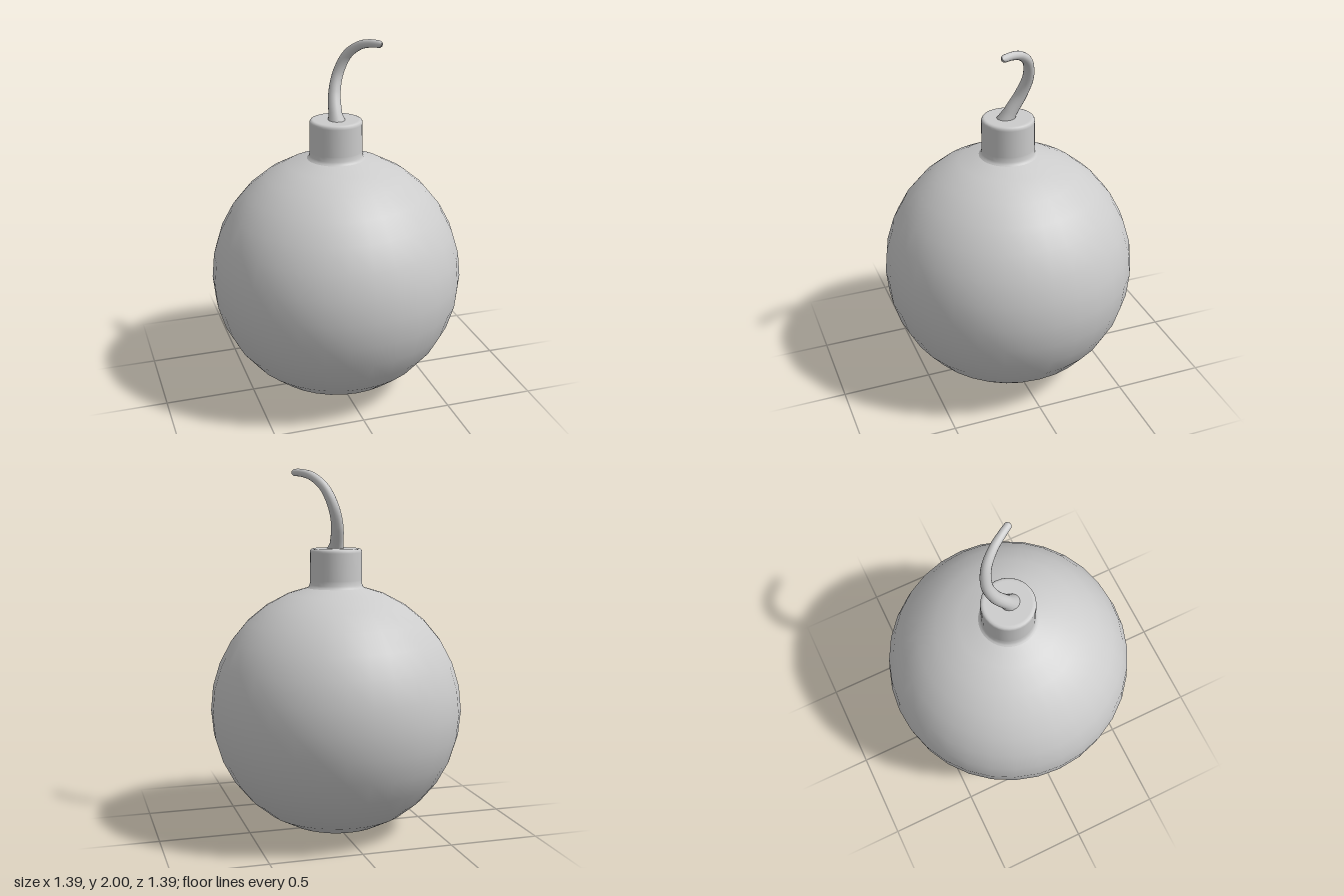
import * as THREE from 'three';

const material = new THREE.MeshStandardMaterial({ color: 0xcccccc });
const SIDES = 32;

function lathe(name, points) {
  const geometry = new THREE.LatheGeometry(points.map(([r, y]) => new THREE.Vector2(r, y)), SIDES);
  const mesh = new THREE.Mesh(geometry, material);
  mesh.name = name;
  return mesh;
}

// Tube whose radius follows a rule along its length
function taperedTube(name, curve, radiusAt, segments, sides) {
  const geometry = new THREE.TubeGeometry(curve, segments, 1, sides);
  const pos = geometry.attributes.position;
  const v = new THREE.Vector3();
  for (let i = 0; i <= segments; i++) {
    const t = i / segments;
    const centre = curve.getPointAt(t);
    for (let j = 0; j <= sides; j++) {
      const k = i * (sides + 1) + j;
      v.fromBufferAttribute(pos, k).sub(centre).multiplyScalar(radiusAt(t)).add(centre);
      pos.setXYZ(k, v.x, v.y, v.z);
    }
  }
  const mesh = new THREE.Mesh(geometry, material);
  mesh.name = name;
  return mesh;
}

export function createModel() {
  const model = new THREE.Group();
  model.name = 'roundBomb';

  // Round body: sphere rings, cut flat at the bottom and under the neck
  const R = 0.695, centreY = 0.682;
  const rings = [[0, 0], [0.13, 0]];
  for (let i = 1; i < 16; i++) {
    const a = (i / 16) * Math.PI;
    rings.push([R * Math.sin(a), Math.max(0.002, centreY - R * Math.cos(a))]);
  }
  model.add(lathe('body', rings));

  // Neck: small flare at the foot, rounded rim, flat lid
  model.add(lathe('neck', [
    [0.165, 1.352], [0.151, 1.362], [0.145, 1.375], [0.143, 1.395],
    [0.143, 1.4], [0.143, 1.55], [0.142, 1.56], [0.137, 1.568], [0.128, 1.571],
    [0.12, 1.571], [0, 1.571],
  ]));

  // Curling fuse, thinner toward a rounded tip
  const path = new THREE.CatmullRomCurve3([
    [0, 1.54, 0.02], [0, 1.6, -0.012], [0.013, 1.7, -0.068], [0.042, 1.8, -0.095],
    [0.086, 1.9, -0.074], [0.135, 1.957, -0.015], [0.175, 1.977, 0.048], [0.214, 1.981, 0.112],
  ].map((p) => new THREE.Vector3(...p)));
  const radiusAt = (t) => {
    const tip = Math.min(1, (1 - t) / 0.03);
    const flare = 0.015 * Math.max(0, 1 - t / 0.1);
    return (0.039 - 0.02 * t + flare) * Math.sqrt(1 - (1 - tip) ** 2);
  };
  model.add(taperedTube('fuse', path, radiusAt, 100, 16));

  return model;
}
